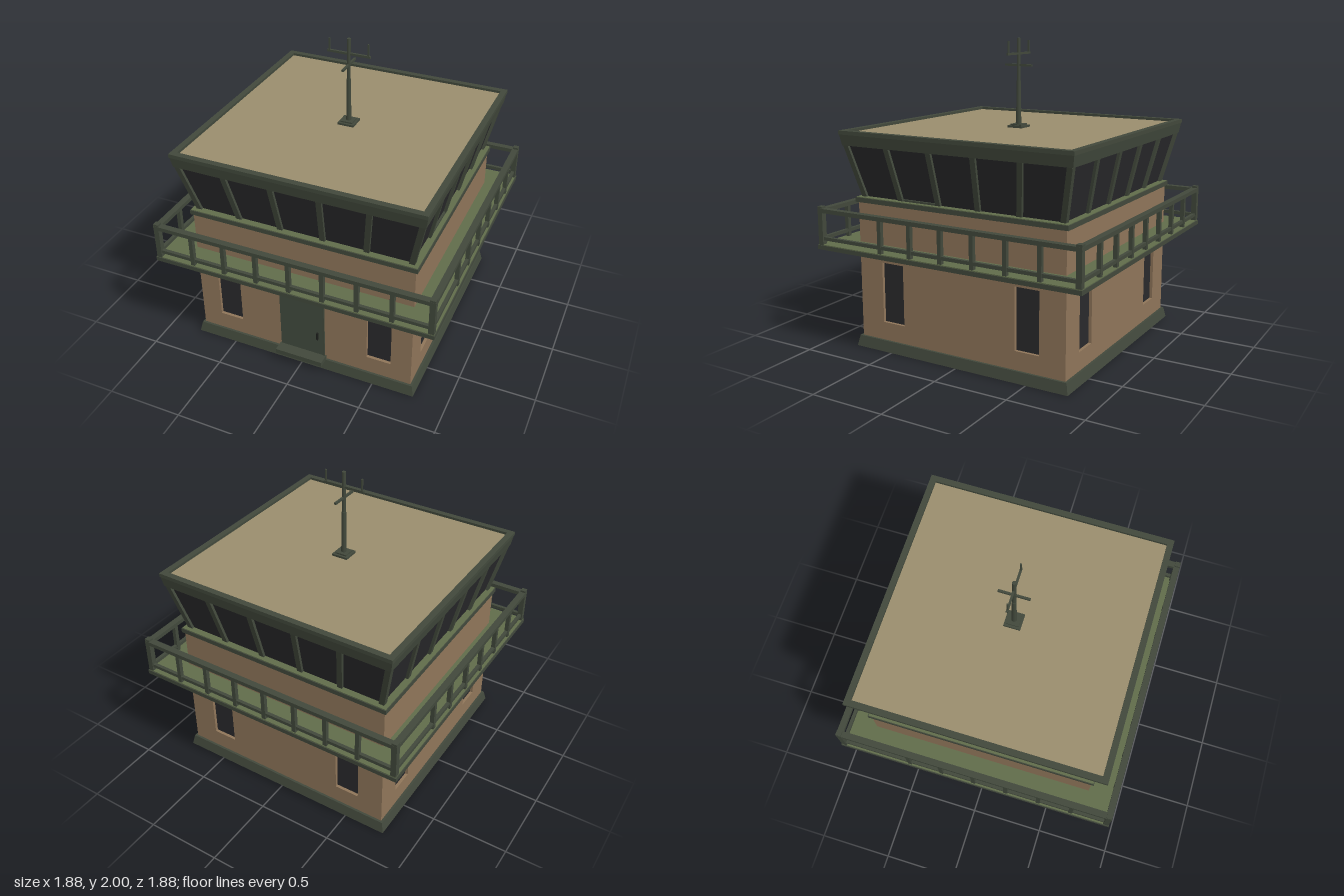
import * as THREE from 'three';

const mat = (name, color) => {
  const m = new THREE.MeshStandardMaterial({ color });
  m.name = name;
  return m;
};

export function createModel() {
  const wall = mat('tan wall', 0x90765a);
  const trim = mat('dark green trim', 0x42493c);
  const deckGreen = mat('deck green', 0x616d4b);
  const roofTan = mat('roof tan', 0x9b8e6e);
  const glass = mat('dark glass', 0x2a2a2c);
  const doorGreen = mat('door green', 0x424b3e);
  const black = mat('handle black', 0x1d1f1c);

  const root = new THREE.Group();
  root.name = 'controlTower';

  const add = (parent, name, geo, material, x = 0, y = 0, z = 0) => {
    const m = new THREE.Mesh(geo, material);
    m.name = name;
    m.position.set(x, y, z);
    parent.add(m);
    return m;
  };
  // Box spanning y0..y1, centred on x and z
  const box = (parent, name, material, w, y0, y1, d, x = 0, z = 0) =>
    add(parent, name, new THREE.BoxGeometry(w, y1 - y0, d), material, x, (y0 + y1) / 2, z);
  // Square frustum with half widths b (bottom) and t (top)
  const frustum = (name, material, b, t, y0, y1) => {
    const g = new THREE.CylinderGeometry(t * Math.SQRT2, b * Math.SQRT2, y1 - y0, 4)
      .rotateY(Math.PI / 4).toNonIndexed();
    g.computeVertexNormals();
    return add(root, name, g, material, 0, (y0 + y1) / 2, 0);
  };
  // Rectangular bar between two points
  const bar = (parent, name, material, a, b, w, d) => {
    const dir = b.clone().sub(a);
    const m = add(parent, name, new THREE.BoxGeometry(w, dir.length(), d), material);
    m.position.copy(a).add(b).multiplyScalar(0.5);
    m.quaternion.setFromUnitVectors(new THREE.Vector3(0, 1, 0), dir.normalize());
  };
  const rect = (C, x0, y0, x1, y1) => {
    const s = new C();
    s.moveTo(x0, y0);
    s.lineTo(x1, y0);
    s.lineTo(x1, y1);
    s.lineTo(x0, y1);
    s.closePath();
    return s;
  };

  // Plinth, dark core seen through the window openings, deck and sill
  frustum('plinth', trim, 0.78, 0.765, 0, 0.07);
  box(root, 'windowCore', glass, 1.46, 0.07, 0.97, 1.46);
  box(root, 'deckSlab', trim, 1.88, 0.675, 0.703, 1.88);
  box(root, 'deckFloor', deckGreen, 1.87, 0.703, 0.708, 1.87);
  box(root, 'sill', trim, 1.53, 0.972, 1.002, 1.53);
  box(root, 'sillTop', deckGreen, 1.52, 1.002, 1.006, 1.52);

  // Sloped glass cab
  const cabB = 0.715, cabT = 0.793, y0 = 1.004, y1 = 1.345;
  frustum('cabGlass', glass, cabB, cabT, y0, y1);

  // The four sides
  for (let k = 0; k < 4; k++) {
    const side = new THREE.Group();
    side.name = ['front', 'left', 'back', 'right'][k] + 'Side';
    side.rotation.y = k * Math.PI / 2;
    root.add(side);

    // Wall with two window openings
    const half = k % 2 ? 0.73 : 0.75;
    const s = rect(THREE.Shape, -half, 0.07, half, 0.975);
    const [wi, wo] = k === 0 ? [0.448, 0.612] : [0.41, 0.575];
    s.holes.push(rect(THREE.Path, -wo, 0.19, -wi, 0.59), rect(THREE.Path, wi, 0.19, wo, 0.59));
    add(side, 'wall', new THREE.ExtrudeGeometry(s, { depth: 0.02, bevelEnabled: false }), wall, 0, 0, 0.73);

    // Railing
    box(side, 'topRail', trim, 1.87, 0.915, 0.942, 0.042, 0, 0.915);
    box(side, 'lowerRail', trim, 1.83, 0.735, 0.757, 0.022, 0, 0.917);
    box(side, 'cornerPost', trim, 0.036, 0.703, 0.955, 0.036, 0.917, 0.917);
    for (let i = -3; i <= 3; i++) {
      if (k % 2 && i === -3) continue;
      box(side, 'railPost', trim, 0.027, 0.703, 0.92, 0.027, i * 0.224, 0.917);
    }

    // Cab mullions fanning outward, the last one on the corner
    for (const f of [-0.6, -0.2, 0.2, 0.6, 1]) {
      bar(side, 'mullion', trim, new THREE.Vector3(f * cabB, y0, cabB),
        new THREE.Vector3(f * cabT, y1, cabT), 0.036, 0.036);
    }
  }

  // Low threshold in one bay of the cab
  box(root, 'cabThreshold', trim, 0.02, 1.004, 1.018, 0.245, 0.722, 0.283);

  // Roof: fascia, raised rim and flat surface
  frustum('fascia', trim, 0.815, 0.827, 1.34, 1.412);
  const rim = rect(THREE.Shape, -0.83, -0.83, 0.83, 0.83);
  rim.holes.push(rect(THREE.Path, -0.79, -0.79, 0.79, 0.79));
  add(root, 'roofRim', new THREE.ExtrudeGeometry(rim, { depth: 0.025, bevelEnabled: false })
    .rotateX(-Math.PI / 2), trim, 0, 1.41, 0);
  box(root, 'roofSurface', roofTan, 1.58, 1.411, 1.418, 1.58);

  // Door, step and handle
  box(root, 'door', doorGreen, 0.31, 0.09, 0.59, 0.008, -0.002, 0.754);
  box(root, 'doorEdge', trim, 0.01, 0.09, 0.592, 0.014, 0.152, 0.754);
  box(root, 'doorStep', trim, 0.33, 0.065, 0.097, 0.09, 0, 0.785);
  box(root, 'doorHandle', black, 0.01, 0.225, 0.28, 0.014, 0.11, 0.764);

  // Antenna mast
  box(root, 'mastBase', trim, 0.11, 1.416, 1.432, 0.11);
  box(root, 'mastPlate', trim, 0.08, 1.432, 1.441, 0.08);
  add(root, 'mastLower', new THREE.CylinderGeometry(0.015, 0.018, 0.3, 8), trim, 0, 1.575, 0);
  add(root, 'mastUpper', new THREE.CylinderGeometry(0.013, 0.013, 0.29, 8), trim, 0, 1.855, 0);
  box(root, 'crossbarWide', trim, 0.29, 1.893, 1.907, 0.014);
  box(root, 'crossbarDeep', trim, 0.014, 1.818, 1.832, 0.2);
  for (const sx of [-1, 1]) box(root, 'antennaTip', trim, 0.01, 1.9, 1.983, 0.01, sx * 0.13);

  return root;
}
